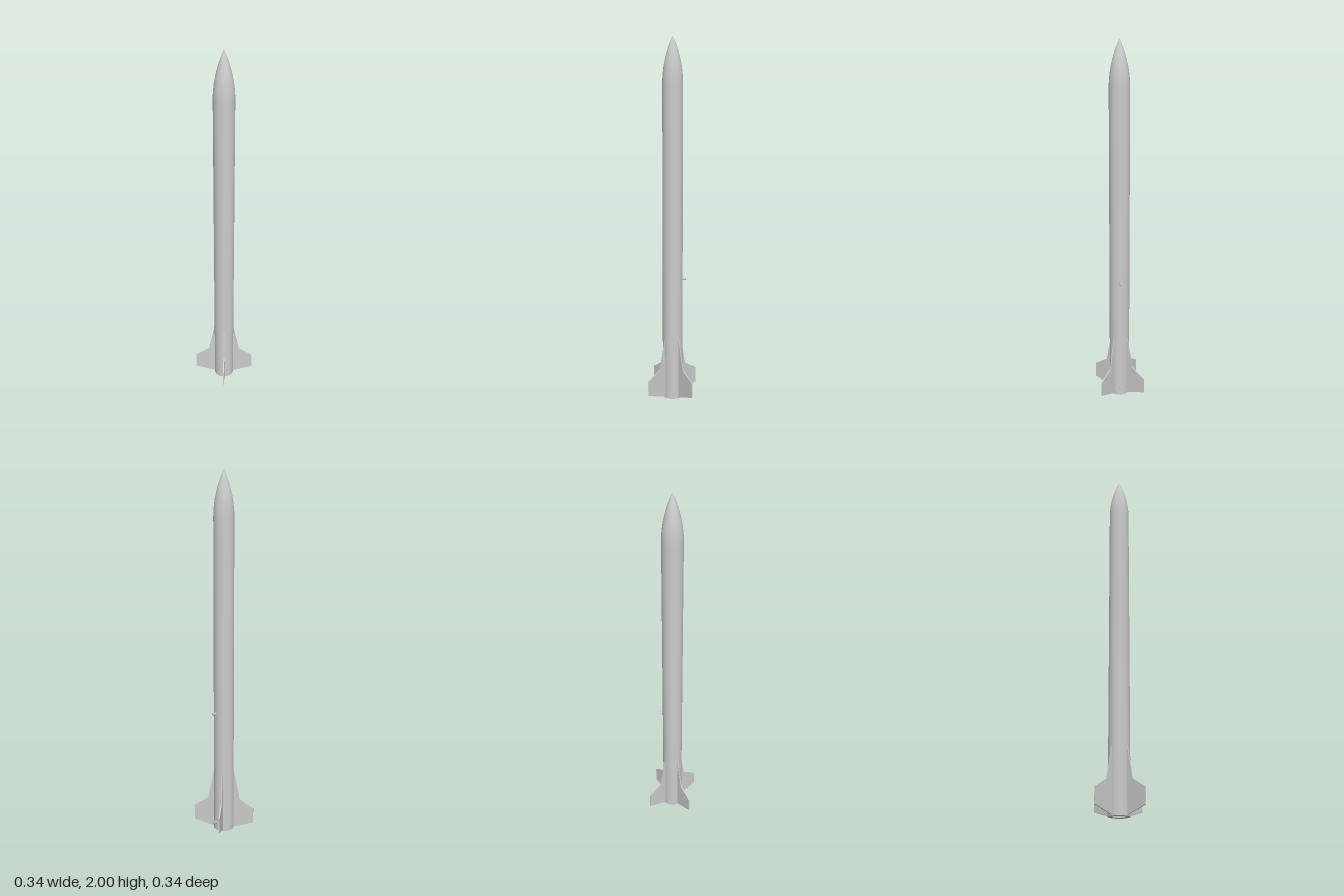
import * as THREE from 'three';

const R = 0.056, SHOULDER = 1.75, NOSE = 0.25, BORE = 0.035;

export function createModel() {
  const group = new THREE.Group();
  const mat = new THREE.MeshStandardMaterial({ color: 0xcccccc });
  const add = (name, geo, parent = group) => {
    const mesh = new THREE.Mesh(geo, mat);
    mesh.name = name;
    parent.add(mesh);
    return mesh;
  };
  const pts = (list) => list.map(([x, y]) => new THREE.Vector2(x, y));

  // Airframe tube
  const body = add('bodyTube', new THREE.CylinderGeometry(R, R, SHOULDER, 64, 1, true));
  body.position.y = SHOULDER / 2;

  // Tangent ogive nose cone
  const rho = (R * R + NOSE * NOSE) / (2 * R);
  const nose = [];
  for (let i = 0; i <= 24; i++) {
    const h = (NOSE * i) / 24;
    nose.push([Math.max(0, Math.sqrt(rho * rho - h * h) + R - rho), SHOULDER + h]);
  }
  add('noseCone', new THREE.LatheGeometry(pts(nose), 64));

  // Tail ring and the motor tube inside it
  const ring = add('tailRing', new THREE.RingGeometry(BORE, R, 64));
  ring.rotation.x = Math.PI / 2;
  const bore = new THREE.LatheGeometry(pts([[0, 0.3], [BORE, 0.3], [BORE, 0.3], [BORE, 0]]), 48);
  add('motorTube', bore).material = new THREE.MeshStandardMaterial({ color: 0xcccccc, side: THREE.DoubleSide });

  // Four swept fins, rooted just inside the tube wall
  const T = 0.006;
  const outline = new THREE.Shape(pts([
    [R - 0.003, 0.005], [R, 0.005], [0.17, 0.04], [0.17, 0.125], [0.09, 0.175], [R, 0.345], [R - 0.003, 0.345],
  ]));
  const finGeo = new THREE.ExtrudeGeometry(outline, { depth: T, bevelEnabled: false }).translate(0, 0, -T / 2);
  for (let i = 0; i < 4; i++) add('fin', finGeo).rotation.y = (i * Math.PI) / 2;

  // Two spool-shaped rail buttons at the back left
  const buttonGeo = new THREE.LatheGeometry(pts([
    [0, 0], [0.008, 0], [0.008, 0], [0.008, 0.006], [0.008, 0.006], [0.0045, 0.006], [0.0045, 0.006],
    [0.0045, 0.014], [0.0045, 0.014], [0.008, 0.014], [0.008, 0.014], [0.008, 0.02], [0.008, 0.02], [0, 0.02],
  ]), 24).rotateZ(-Math.PI / 2).translate(R - 0.001, 0, 0);
  for (const y of [0.045, 0.685]) {
    const button = add('railButton', buttonGeo);
    button.position.y = y;
    button.rotation.y = Math.PI / 4;
  }
  return group;
}
